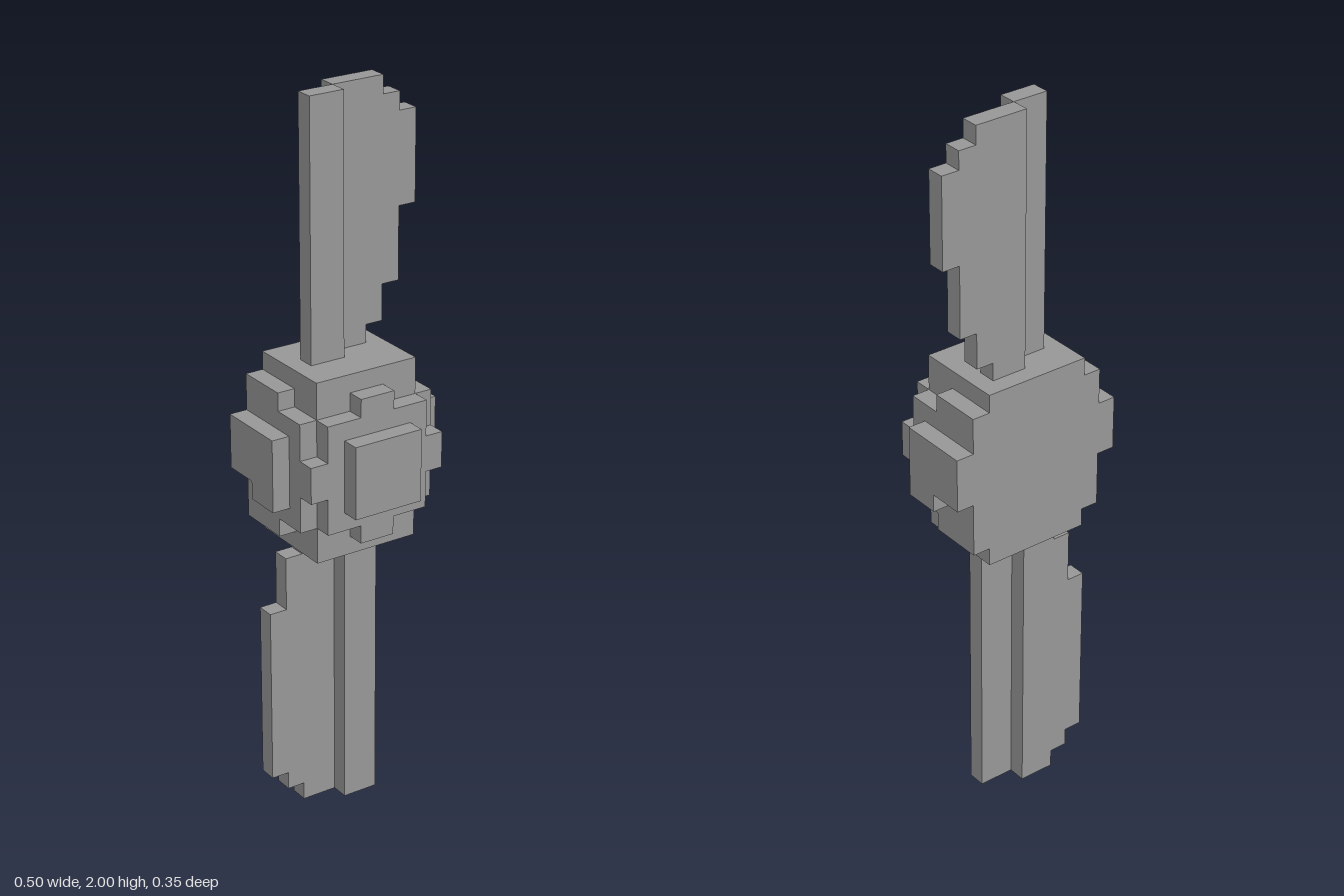
import * as THREE from 'three';

const grey = new THREE.MeshStandardMaterial({ color: 0x999999 });
grey.name = 'grey';

// Extrude a stepped outline of [u, y] points by a depth
function slab(points, depth) {
  const shape = new THREE.Shape(points.map(([u, y]) => new THREE.Vector2(u, y)));
  return new THREE.ExtrudeGeometry(shape, { depth, bevelEnabled: false });
}

export function createModel() {
  const model = new THREE.Group();
  model.name = 'propeller';

  const add = (name, geometry, parent = model) => {
    const mesh = new THREE.Mesh(geometry, grey);
    mesh.name = name;
    parent.add(mesh);
  };
  const box = (x0, x1, y0, y1, z0, z1) =>
    new THREE.BoxGeometry(x1 - x0, y1 - y0, z1 - z0)
      .translate((x0 + x1) / 2, (y0 + y1) / 2, (z0 + z1) / 2);

  // Hub: core block with stepped plates on the front and both sides
  const hub = new THREE.Group();
  hub.name = 'hub';
  model.add(hub);
  add('hubCore', box(-0.15, 0.15, 0.8, 1.3, -0.175, 0.075), hub);

  const frontOutline = [
    [-0.15, 0.9], [-0.05, 0.9], [-0.05, 0.85], [0.05, 0.85], [0.05, 0.9], [0.15, 0.9],
    [0.15, 1.2], [0.05, 1.2], [0.05, 1.25], [-0.05, 1.25], [-0.05, 1.2], [-0.15, 1.2],
  ];
  add('hubFrontPlate', slab(frontOutline, 0.05).translate(0, 0, 0.075), hub);
  add('hubNose', box(-0.1, 0.1, 0.95, 1.15, 0.125, 0.175), hub);

  // Side outlines use u = -z and are turned to extrude along x
  const sideOutline = [
    [-0.125, 1.0], [-0.075, 1.0], [-0.075, 0.9], [0.025, 0.9], [0.025, 0.85], [0.175, 0.85],
    [0.175, 1.25], [0.025, 1.25], [0.025, 1.2], [-0.075, 1.2], [-0.075, 1.1], [-0.125, 1.1],
  ];
  const capOutline = [
    [-0.025, 0.95], [0.075, 0.95], [0.075, 1.0], [0.175, 1.0], [0.175, 1.15], [-0.025, 1.15],
  ];
  for (const [side, plateX, capX] of [['left', 0.15, 0.2], ['right', -0.2, -0.25]]) {
    add(side + 'HubPlate', slab(sideOutline, 0.05).rotateY(Math.PI / 2).translate(plateX, 0, 0), hub);
    add(side + 'HubCap', slab(capOutline, 0.05).rotateY(Math.PI / 2).translate(capX, 0, 0), hub);
  }

  // Upper blade: straight front spar and stepped rear vane
  add('upperBladeSpar', box(-0.1, 0, 1.3, 2, -0.075, -0.025));
  const upperVane = [
    [0, 1.3], [0.1, 1.3], [0.1, 1.35], [0.15, 1.35], [0.15, 1.45], [0.2, 1.45], [0.2, 1.65],
    [0.25, 1.65], [0.25, 1.9], [0.2, 1.9], [0.2, 1.95], [0.15, 1.95], [0.15, 2], [0, 2],
  ];
  add('upperBladeVane', slab(upperVane, 0.05).translate(0, 0, -0.125));

  // Lower blade: the same build turned half a circle
  add('lowerBladeSpar', box(0, 0.1, 0, 0.8, -0.075, -0.025));
  const lowerVane = [
    [0, 0], [0, 0.8], [-0.1, 0.8], [-0.1, 0.75], [-0.15, 0.75], [-0.15, 0.6], [-0.2, 0.6],
    [-0.2, 0.1], [-0.15, 0.1], [-0.15, 0.05], [-0.1, 0.05], [-0.1, 0],
  ];
  add('lowerBladeVane', slab(lowerVane, 0.05).translate(0, 0, -0.125));

  return model;
}
